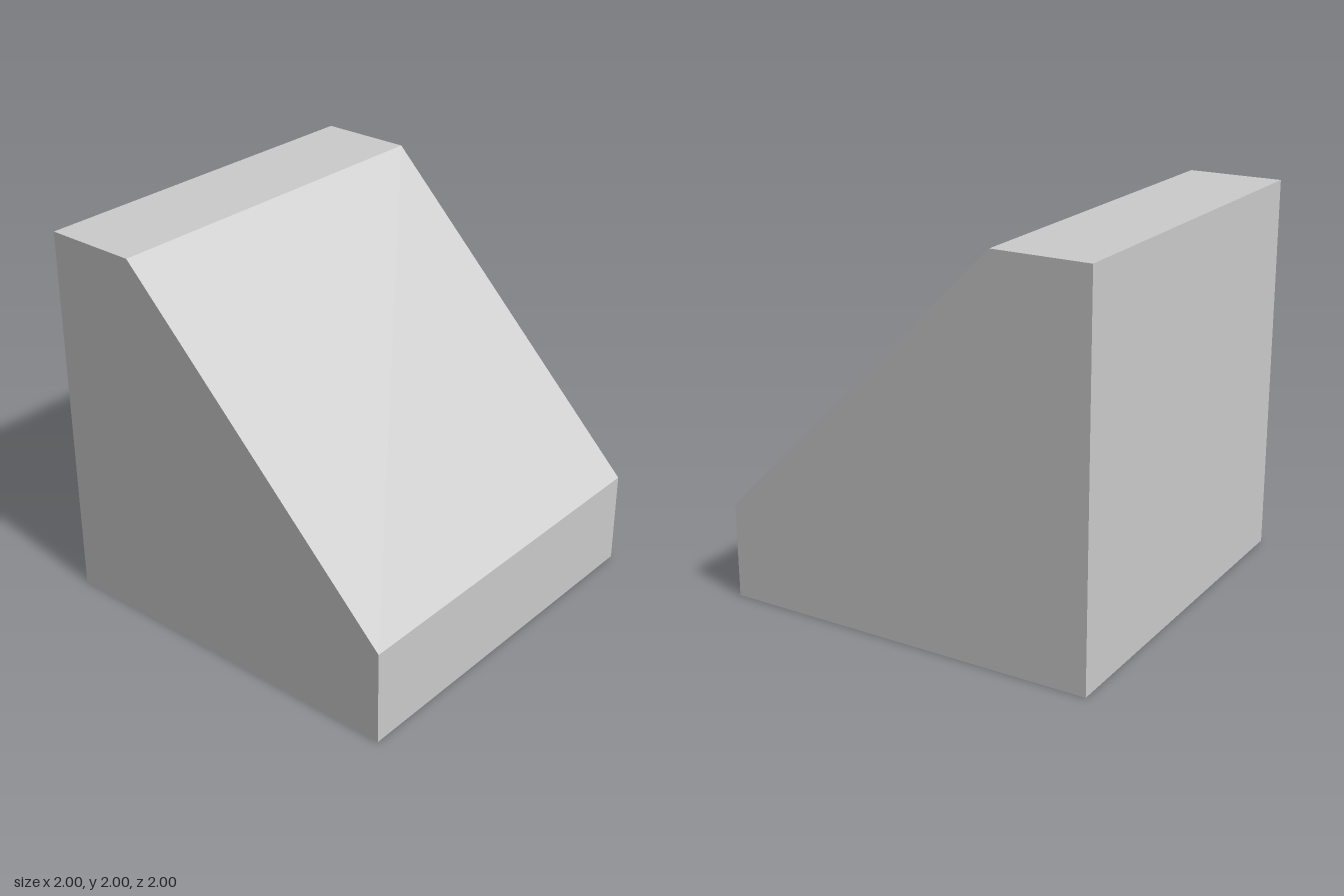
import * as THREE from 'three';

export function createModel() {
  const group = new THREE.Group();
  group.name = 'slopedBlock';

  // Side profile: short flat top, 45 degree slope, low vertical lip
  const profile = new THREE.Shape([
    [-1, 0], [1, 0], [1, 0.5], [-0.5, 2], [-1, 2],
  ].map(([x, y]) => new THREE.Vector2(x, y)));

  // Extruded through the full depth and centred on z
  const depth = 2;
  const geometry = new THREE.ExtrudeGeometry(profile, { depth, bevelEnabled: false });
  geometry.translate(0, 0, -depth / 2);

  const material = new THREE.MeshStandardMaterial({ color: 0xcccccc, flatShading: true });
  const block = new THREE.Mesh(geometry, material);
  block.name = 'wedgeBody';
  group.add(block);
  return group;
}
